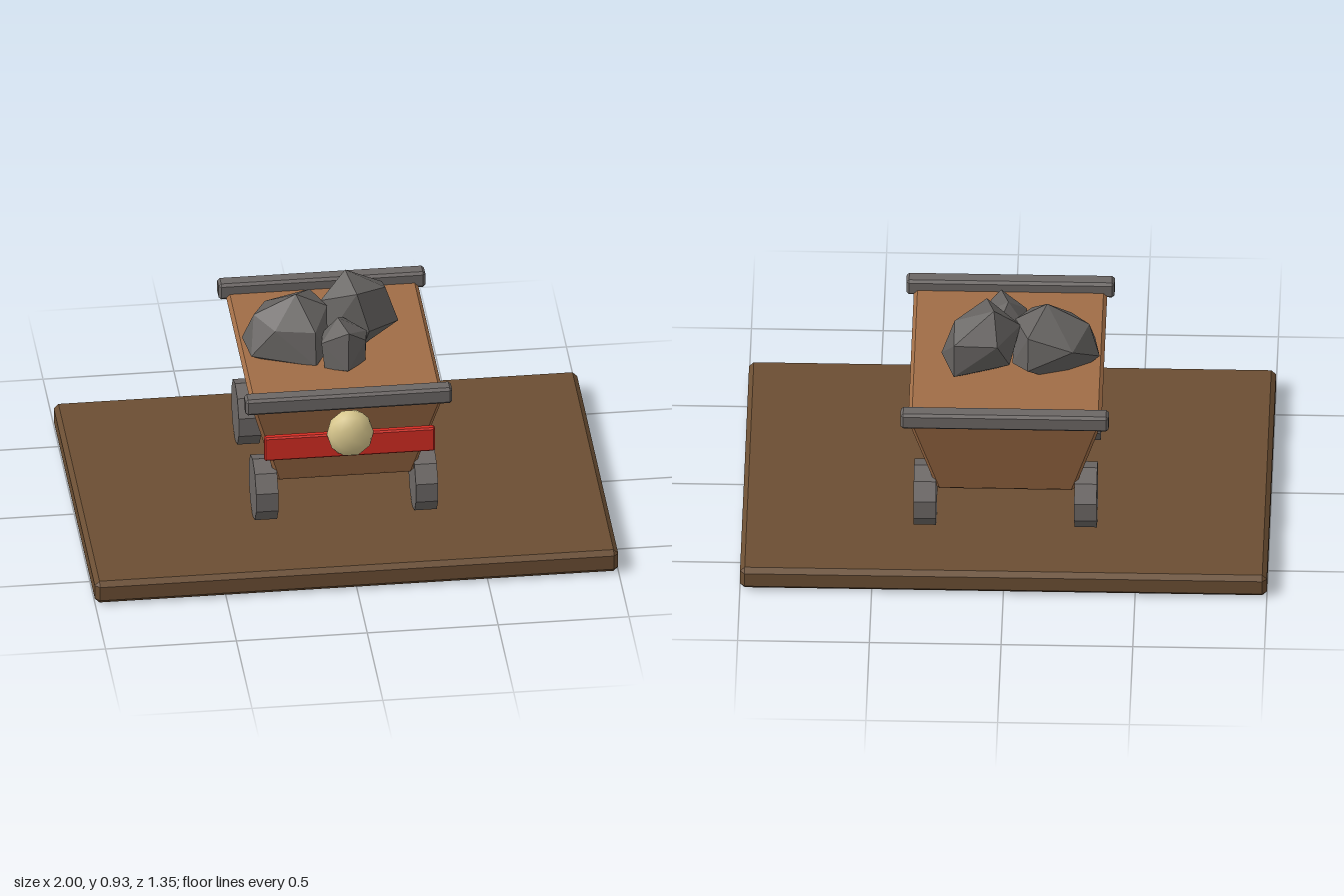
import * as THREE from 'three';
import { ConvexGeometry } from 'three/addons/geometries/ConvexGeometry.js';

const material = (name, color) => {
  const m = new THREE.MeshStandardMaterial({ color });
  m.name = name;
  return m;
};

// Box with chamfered edges whose top and bottom may differ in size
function chamferBox(topX, topZ, bottomX, bottomZ, height, bevel) {
  const points = [];
  for (const sy of [-1, 1]) {
    const hx = sy > 0 ? topX : bottomX;
    const hz = sy > 0 ? topZ : bottomZ;
    const hy = height / 2;
    for (const sx of [-1, 1]) {
      for (const sz of [-1, 1]) {
        points.push(
          new THREE.Vector3(sx * hx, sy * (hy - bevel), sz * (hz - bevel)),
          new THREE.Vector3(sx * (hx - bevel), sy * hy, sz * (hz - bevel)),
          new THREE.Vector3(sx * (hx - bevel), sy * (hy - bevel), sz * hz)
        );
      }
    }
  }
  return new ConvexGeometry(points);
}

// Faceted boulder around a few corner points
const boulder = (corners) =>
  new ConvexGeometry(corners.map((c) => new THREE.Vector3(...c)));

export function createModel() {
  const model = new THREE.Group();
  model.name = 'mineCart';

  const darkWood = material('dark wood', 0x6b4e33);
  const wood = material('wood', 0xa06d46);
  const iron = material('iron', 0x6c6765);
  const stone = material('stone', 0x656260);
  const red = material('red paint', 0xd42c22);
  const glow = material('lamp yellow', 0xd9c88e);

  const add = (name, geometry, mat, x = 0, y = 0, z = 0) => {
    const mesh = new THREE.Mesh(geometry, mat);
    mesh.name = name;
    mesh.position.set(x, y, z);
    model.add(mesh);
    return mesh;
  };

  // Ground slab
  add('base', chamferBox(1, 0.675, 1, 0.675, 0.094, 0.018), darkWood, 0, 0.047, 0);

  // Tapered cart body, filled to the top
  add('body', chamferBox(0.367, 0.43, 0.265, 0.332, 0.4, 0.014), wood, 0, 0.464, -0.043);

  // Iron rails across both ends
  const rail = chamferBox(0.395, 0.032, 0.395, 0.032, 0.068, 0.01);
  add('frontRail', rail, iron, 0, 0.673, 0.389);
  add('backRail', rail, iron, 0, 0.673, -0.471);

  // Four ten-sided wheels
  const wheel = new THREE.CylinderGeometry(0.125, 0.125, 0.085, 10).toNonIndexed();
  wheel.rotateZ(Math.PI / 2);
  wheel.rotateX(Math.PI / 2);
  wheel.computeVertexNormals();
  for (const [side, x] of [['Left', 0.305], ['Right', -0.305]]) {
    add('front' + side + 'Wheel', wheel, iron, x, 0.215, 0.24);
    add('back' + side + 'Wheel', wheel, iron, x, 0.215, -0.32);
  }

  // Front sign board and lamp
  add('frontBoard', chamferBox(0.326, 0.015, 0.326, 0.015, 0.102, 0.006), red, 0, 0.5, 0.429);
  const lamp = add('lamp', new THREE.IcosahedronGeometry(1, 1), glow, 0, 0.56, 0.455);
  lamp.scale.set(0.09, 0.1, 0.06);

  // Load of rocks
  add('largeRock', boulder([
    [-0.15, 0.895, -0.03], [-0.31, 0.81, -0.04], [-0.25, 0.78, -0.185],
    [-0.08, 0.83, -0.17], [-0.03, 0.83, -0.04], [-0.09, 0.79, 0.09],
    [-0.24, 0.79, 0.06], [-0.35, 0.69, -0.08], [-0.08, 0.7, -0.2],
    [-0.02, 0.68, -0.12], [-0.04, 0.7, 0.07], [-0.09, 0.66, 0.12],
    [-0.33, 0.68, 0.05], [-0.22, 0.58, -0.1], [-0.1, 0.58, 0.02]
  ]), stone);
  add('tallRock', boulder([
    [0.05, 0.93, -0.13], [0.08, 0.895, 0], [0.2, 0.86, -0.1],
    [0.2, 0.82, -0.21], [0.035, 0.82, -0.215], [-0.05, 0.83, -0.08],
    [0.125, 0.74, 0.02], [0.25, 0.71, -0.1], [0.2, 0.68, -0.215],
    [-0.01, 0.7, -0.16], [-0.03, 0.7, -0.02], [0.11, 0.67, -0.01],
    [0.1, 0.62, -0.1]
  ]), stone);
  add('smallRock', boulder([
    [0, 0.835, 0.06], [0.03, 0.82, 0.16], [-0.07, 0.76, 0.12],
    [-0.055, 0.76, 0.035], [0.11, 0.77, 0.06], [0.1, 0.76, 0.115],
    [0.025, 0.8, 0], [0.025, 0.67, 0.185], [-0.06, 0.66, 0.14],
    [0.1, 0.66, 0.1], [0, 0.6, 0.08]
  ]), stone);

  return model;
}
